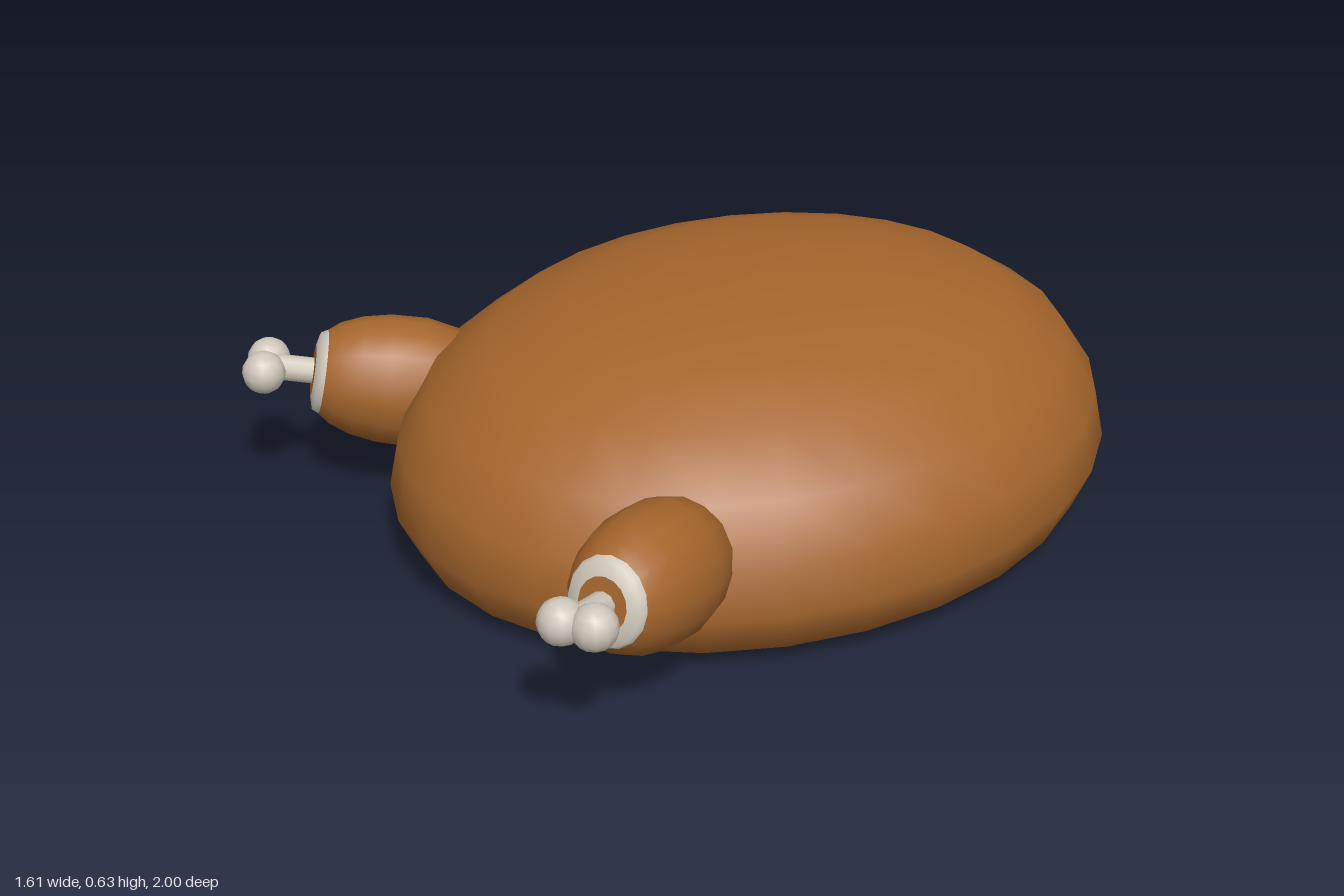
import * as THREE from 'three';

const skin = new THREE.MeshStandardMaterial({ name: 'roasted skin', color: 0xa5652c });
const bone = new THREE.MeshStandardMaterial({ name: 'bone', color: 0xcfc7bb });

// Lathe from [radius, height] pairs, listed from bottom to top
function lathe(name, points, segments, material) {
  const geometry = new THREE.LatheGeometry(points.map(([r, h]) => new THREE.Vector2(r, h)), segments);
  const mesh = new THREE.Mesh(geometry, material);
  mesh.name = name;
  return mesh;
}

// One drumstick, built along +z with the origin at its bone end
function drumstick(side) {
  const leg = new THREE.Group();
  leg.name = side > 0 ? 'leftDrumstick' : 'rightDrumstick';

  const along = (name, points, segments, material) => {
    const mesh = lathe(name, points, segments, material);
    mesh.geometry.rotateX(Math.PI / 2).scale(1, 1.1, 1);
    leg.add(mesh);
  };
  along('meat', [[0, -0.4], [0.09, -0.39], [0.135, -0.33], [0.152, -0.24], [0.15, -0.15],
    [0.138, -0.08], [0.118, -0.025], [0.098, 0.003]], 16, skin);
  along('cuffRing', [[0.098, 0.003], [0.09, 0.02], [0.06, 0.028]], 16, bone);
  along('meatEnd', [[0.06, 0.028], [0, 0.03]], 16, skin);

  const shaft = new THREE.Mesh(new THREE.CylinderGeometry(0.033, 0.033, 0.14, 10), bone);
  shaft.name = 'boneShaft';
  shaft.rotation.x = Math.PI / 2;
  shaft.position.z = 0.07;
  leg.add(shaft);

  leg.position.set(0.65 * side, 0.34, 0.8);
  leg.lookAt(leg.position.clone().add(new THREE.Vector3(0.43 * side, 0.2, 0.85)));
  return leg;
}

export function createModel() {
  const model = new THREE.Group();
  model.name = 'roastBird';

  // Oval body with a flat underside
  const body = lathe('body', [[0, 0], [0.6, 0], [0.8, 0.001], [0.945, 0.052], [1, 0.16], [0.972, 0.285],
    [0.885, 0.41], [0.725, 0.515], [0.505, 0.588], [0.255, 0.621], [0, 0.627]], 28, skin);
  body.geometry.scale(0.787, 1, 0.945);
  body.position.z = -0.055;
  model.add(body);

  // Drumsticks with a pair of knobs on each bone
  for (const side of [1, -1]) {
    model.add(drumstick(side));
    for (const [x, z] of [[0.75, 0.9], [0.69, 0.945]]) {
      const knob = new THREE.Mesh(new THREE.SphereGeometry(0.054, 12, 8), bone);
      knob.name = 'boneKnob';
      knob.position.set(x * side, 0.366, z);
      model.add(knob);
    }
  }
  return model;
}
